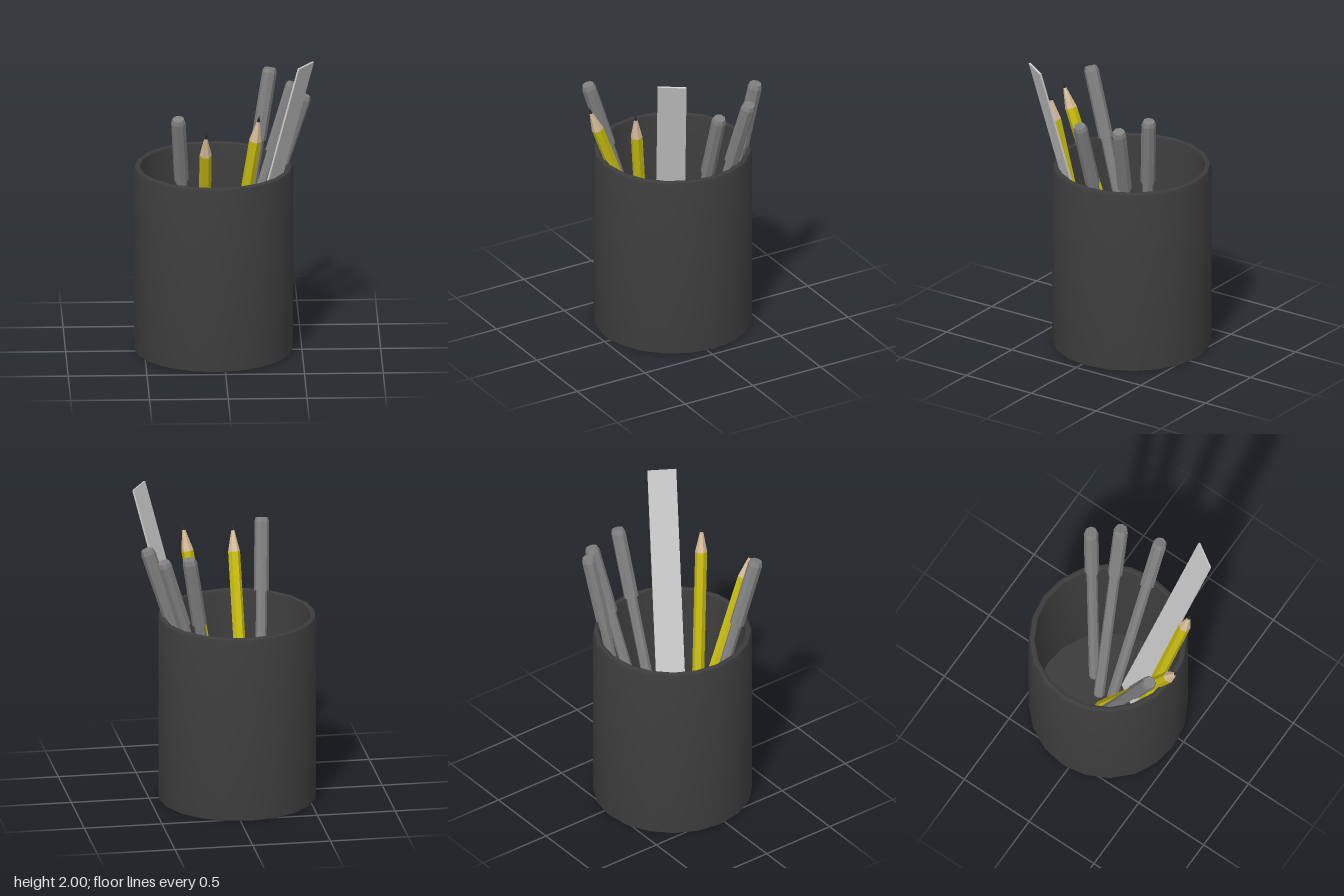
import * as THREE from 'three';
import { toCreasedNormals } from 'three/addons/utils/BufferGeometryUtils.js';

const paint = (color, flatShading = false) => new THREE.MeshStandardMaterial({ color, flatShading });

const cupPaint = paint(0x3c3c3c);
const penPaint = paint(0x808080, true);
const yellowPaint = paint(0xc8bc10, true);
const woodPaint = paint(0xd8bd9b, true);
const leadPaint = paint(0x2c2c2c, true);
const rulerPaint = paint(0xcccccc, true);

function lathe(name, profile, sides, material, start = 0) {
  const points = profile.map(([r, y]) => new THREE.Vector2(r, y));
  const mesh = new THREE.Mesh(new THREE.LatheGeometry(points, sides, start), material);
  mesh.name = name;
  return mesh;
}

// Group whose local y runs from one point towards another; local x follows the side hint
function leaning(name, from, to, side) {
  const base = new THREE.Vector3(...from);
  const y = new THREE.Vector3(...to).sub(base);
  const length = y.length();
  y.normalize();
  const x = side ? new THREE.Vector3(...side) : new THREE.Vector3(0, 1, 0).cross(y);
  x.addScaledVector(y, -x.dot(y)).normalize();
  const group = new THREE.Group();
  group.name = name;
  group.position.copy(base);
  group.quaternion.setFromRotationMatrix(
    new THREE.Matrix4().makeBasis(x, y, x.clone().cross(y)));
  return { group, length };
}

// Eight-sided pen with a wider, chamfered cap
function makePen(from, to) {
  const { group, length } = leaning('pen', from, to);
  const capStart = length - 0.467;
  group.add(
    lathe('penBody', [[0, 0], [0.035, 0], [0.035, capStart + 0.02]], 8, penPaint),
    lathe('penCap', [[0, capStart], [0.047, capStart], [0.047, length - 0.028],
      [0.038, length], [0, length]], 8, penPaint));
  return group;
}

// Six-sided pencil: painted shaft, sharpened wood and lead point
function makePencil(from, to) {
  const { group, length } = leaning('pencil', from, to);
  const r = 0.0385, point = 0.185, lead = 0.05;
  const leadRadius = r * lead / point, start = Math.PI / 6;
  group.add(
    lathe('pencilShaft', [[0, 0], [r, 0], [r, length - point]], 6, yellowPaint, start),
    lathe('pencilWood', [[r, length - point], [leadRadius, length - lead]], 6, woodPaint, start),
    lathe('pencilLead', [[leadRadius, length - lead], [0, length]], 6, leadPaint, start));
  return group;
}

function makeRuler(from, to, side) {
  const { group, length } = leaning('ruler', from, to, side);
  const blade = new THREE.Mesh(new THREE.BoxGeometry(0.184, length, 0.012), rulerPaint);
  blade.name = 'rulerBlade';
  blade.position.y = length / 2;
  group.add(blade);
  return group;
}

export function createModel() {
  const model = new THREE.Group();
  model.name = 'pencilCup';

  // Cup: twenty-sided, hollow, with a softened rim
  const R = 0.505, r = 0.463, H = 1.225;
  const cup = lathe('cup', [[0, 0], [R - 0.005, 0], [R, 0.005], [R, H - 0.022],
    [R - 0.006, H - 0.007], [R - 0.02, H], [r + 0.014, H], [r + 0.004, H - 0.006],
    [r, H - 0.02], [r, 0.04], [0, 0.04]], 20, cupPaint);
  cup.geometry = toCreasedNormals(cup.geometry, 0.65);
  cup.position.set(-0.06, 0, -0.04);
  model.add(cup);

  // Pens: bottom and top of each axis
  for (const [from, to] of [
    [[-0.207, 0.045, -0.057], [-0.30, 1.69, 0.445]],
    [[-0.017, 0.045, -0.04], [0.52, 1.685, -0.04]],
    [[-0.05, 0.045, -0.118], [0.455, 1.685, -0.297]],
    [[0.036, 0.045, -0.213], [0.312, 1.74, -0.43]],
  ]) model.add(makePen(from, to));

  // Pencils
  model.add(
    makePencil([-0.127, 0.045, -0.063], [-0.127, 1.63, 0.542]),
    makePencil([-0.032, 0.045, 0.166], [0.218, 1.70, 0.402]));

  // Ruler
  model.add(makeRuler([0.035, 0.045, 0.0475], [0.515, 1.996, 0.3075], [0.543, 0, -0.84]));

  return model;
}
